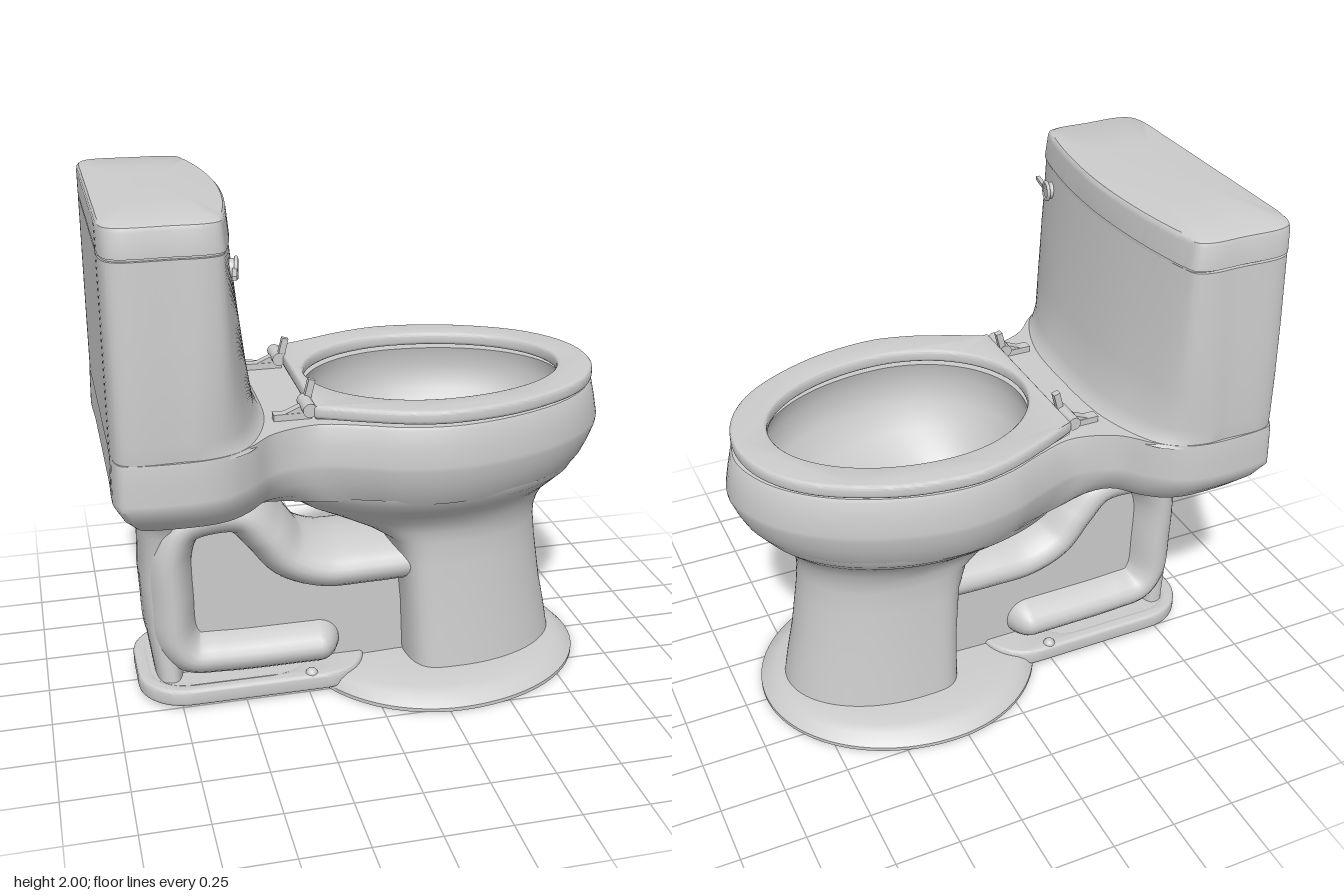
import * as THREE from 'three';
import { toCreasedNormals } from 'three/addons/utils/BufferGeometryUtils.js';

const material = new THREE.MeshStandardMaterial({ color: 0xcccccc, side: THREE.DoubleSide });
const N = 96;

function add(parent, name, geometry, x = 0, y = 0, z = 0) {
  const mesh = new THREE.Mesh(geometry, material);
  mesh.name = name;
  mesh.position.set(x, y, z);
  parent.add(mesh);
  return mesh;
}

// Egg-shaped ring of [x, z]: back x0, front x1, half width w, widest at xm, p < 1 squares the back
function egg(x0, x1, w, xm = 0.25, p = 1) {
  return Array.from({ length: N }, (_, i) => {
    const a = (i / N) * Math.PI * 2, c = Math.cos(a), s = Math.sin(a);
    const q = c < 0 ? p : 1;
    return [c > 0 ? xm + (x1 - xm) * c : xm - (xm - x0) * Math.abs(c) ** q,
      w * Math.sign(s) * Math.abs(s) ** q];
  });
}

// Smooth ring through a half outline (front to back), mirrored in z
function mirrored(half) {
  const all = [...half, ...half.slice(1, -1).reverse().map(([x, z]) => [x, -z])];
  const curve = new THREE.CatmullRomCurve3(all.map(([x, z]) => new THREE.Vector3(x, 0, z)), true, 'centripetal');
  return Array.from({ length: N * 2 }, (_, i) => {
    const v = curve.getPoint(i / (N * 2));
    return [v.x, v.z];
  });
}

// Skin over [y, ring] sections; outward when listed from bottom to top
function loft(sections, capStart = false, capEnd = false) {
  const pos = [], idx = [], n = sections[0][1].length;
  for (const [y, ring] of sections) for (const [x, z] of ring) pos.push(x, y, z);
  for (let i = 0; i < sections.length - 1; i++) for (let j = 0; j < n; j++) {
    const a = i * n + j, b = i * n + (j + 1) % n;
    idx.push(a, a + n, b, b, a + n, b + n);
  }
  const cap = (i, flip) => {
    const [y, ring] = sections[i], c = pos.length / 3;
    pos.push(ring.reduce((s, p) => s + p[0], 0) / n, y, 0);
    for (let j = 0; j < n; j++) {
      const a = i * n + j, b = i * n + (j + 1) % n;
      idx.push(c, flip ? a : b, flip ? b : a);
    }
  };
  if (capStart) cap(0, true);
  if (capEnd) cap(sections.length - 1, false);
  const g = new THREE.BufferGeometry();
  g.setAttribute('position', new THREE.Float32BufferAttribute(pos, 3));
  g.setIndex(idx);
  return toCreasedNormals(g, 0.65);
}

const vectors = ring => ring.map(([x, z]) => new THREE.Vector2(x, z));
function holed(outer, hole) {
  const shape = new THREE.Shape(vectors(outer));
  shape.holes.push(new THREE.Path(vectors(hole)));
  return shape;
}
const flat = shape => new THREE.ShapeGeometry(shape).rotateX(Math.PI / 2);
const slab = (shape, depth, bevel) => toCreasedNormals(new THREE.ExtrudeGeometry(shape, {
  depth: depth - 2 * bevel, bevelSize: bevel, bevelThickness: bevel, bevelOffset: -bevel, bevelSegments: 3,
}).rotateX(Math.PI / 2), 0.6);

// Tank plan: bowed front at f, half width w, front corner softness r, scaled by s about its middle
function tankRing(f, w, r = 0, s = 1) {
  const half = [[f, 0], [f - 0.02, 0.3], [f - 0.06 - 0.05 * r, w - 0.07 - 0.02 * r], [f - 0.08 - 0.1 * r, w - 0.02 - 0.01 * r],
    [f - 0.13 - 0.15 * r, w], [-0.75, w], [-0.91, w], [-0.955, w - 0.022], [-0.975, w - 0.07], [-0.98, 0.3], [-0.98, 0]];
  return mirrored(half.map(([x, z]) => [-0.74 + (x + 0.74) * s, z * s]));
}

// Body plan: bowl end scaled by s, tank end scaled by t
function bodyRing(s, t) {
  const bowl = [[0.975, 0], [0.91, 0.2], [0.75, 0.365], [0.5, 0.485], [0.25, 0.53], [0.05, 0.5], [-0.1, 0.44], [-0.26, 0.395]];
  const tank = [[-0.4, 0.43], [-0.5, 0.53], [-0.58, 0.59], [-0.68, 0.62], [-0.92, 0.615],
    [-0.96, 0.6], [-0.98, 0.55], [-0.98, 0.3], [-0.98, 0]];
  return mirrored([...bowl.map(([x, z]) => [0.25 + (x - 0.25) * s, z * s]),
    ...tank.map(([x, z]) => [-0.5 + (x + 0.5) * t, z * t])]);
}

function roundedRect(x0, x1, w, r) {
  const s = new THREE.Shape();
  s.absarc(x1 - r, w - r, r, 0, Math.PI / 2);
  s.absarc(x0 + r, w - r, r, Math.PI / 2, Math.PI);
  s.absarc(x0 + r, r - w, r, Math.PI, Math.PI * 1.5);
  s.absarc(x1 - r, r - w, r, Math.PI * 1.5, Math.PI * 2);
  return s;
}

export function createModel() {
  const model = new THREE.Group();
  model.name = 'toilet';

  // Tank and lid
  add(model, 'tank', loft([[1.165, tankRing(-0.375, 0.606, 1)], [1.185, tankRing(-0.405, 0.608, 0.95)],
    [1.24, tankRing(-0.432, 0.609, 0.8)], [1.4, tankRing(-0.455, 0.607, 0.5)], [1.6, tankRing(-0.478, 0.6, 0.25)],
    [1.87, tankRing(-0.505, 0.585)]], false, true));
  add(model, 'tankLid', loft([[1.865, tankRing(-0.5, 0.58, 0, 0.985)], [1.878, tankRing(-0.5, 0.58, 0, 0.985)],
    [1.88, tankRing(-0.5, 0.588)], [1.965, tankRing(-0.508, 0.583)], [1.98, tankRing(-0.508, 0.583, 0, 0.99)],
    [1.988, tankRing(-0.508, 0.583, 0, 0.96)], [2, tankRing(-0.508, 0.583, 0, 0.5)]], true, true));

  // Body: tank underside, deck and rim
  const opening = egg(-0.2, 0.82, 0.39);
  add(model, 'rimAndDeck', loft([[0.86, bodyRing(0.885, 0.7)], [0.9, bodyRing(0.93, 0.86)],
    [0.95, bodyRing(0.965, 0.94)], [1.01, bodyRing(0.997, 1)], [1.03, bodyRing(1, 1)],
    [1.1, bodyRing(0.982, 0.997)], [1.165, bodyRing(0.962, 0.993)], [1.178, bodyRing(0.95, 0.99)]]));
  add(model, 'deckTop', flat(holed(bodyRing(0.95, 0.99), opening)), 0, 1.178);
  add(model, 'deckUnderside', flat(holed(bodyRing(0.885, 0.7), egg(-0.3, 0.8, 0.32))), 0, 0.86);

  // Outer bowl flowing into the pedestal: y, back, front, half width, squareness
  const pedestal = [[0.07, 0.16, 0.82, 0.32, 0.5], [0.18, 0.155, 0.8, 0.308, 0.5], [0.3, 0.15, 0.775, 0.297, 0.5],
    [0.5, 0.13, 0.745, 0.28, 0.5], [0.6, 0.08, 0.735, 0.276, 0.6], [0.65, -0.01, 0.737, 0.281, 0.7],
    [0.7, -0.14, 0.75, 0.3, 0.85], [0.75, -0.25, 0.782, 0.345, 0.95], [0.8, -0.33, 0.828, 0.407, 1],
    [0.85, -0.38, 0.876, 0.46, 1], [0.88, -0.4, 0.895, 0.47, 1]];
  add(model, 'bowlAndPedestal', loft(pedestal.map(([y, b, f, w, p]) => [y, egg(b, f, w, 0.35 - 0.1 * (y > 0.7), p)])));
  add(model, 'basin', loft([[1.178, opening], [1.1, egg(-0.22, 0.84, 0.41)], [1, egg(-0.2, 0.8, 0.39)],
    [0.9, egg(-0.16, 0.68, 0.33, 0.22)], [0.8, egg(-0.12, 0.47, 0.24, 0.15)], [0.72, egg(-0.08, 0.26, 0.15, 0.06)],
    [0.64, egg(-0.06, 0.06, 0.08, 0)]], false, true));

  // Trapway: flattened pipe, web behind it and rear column
  const path = [[0.2, 0.49], [0, 0.485], [-0.17, 0.49], [-0.3, 0.545], [-0.39, 0.655], [-0.48, 0.75], [-0.6, 0.762],
    [-0.71, 0.73], [-0.76, 0.63], [-0.765, 0.42], [-0.752, 0.25], [-0.7, 0.18], [-0.58, 0.165], [-0.19, 0.16]];
  const trap = new THREE.Group();
  trap.name = 'trapway';
  trap.scale.z = 2.2;
  model.add(trap);
  const curve = new THREE.CatmullRomCurve3(path.map(([x, y]) => new THREE.Vector3(x, y, 0)));
  add(trap, 'trapPipe', new THREE.TubeGeometry(curve, 120, 0.106, 28));
  add(trap, 'trapPipeEnd', new THREE.SphereGeometry(0.106, 28, 16), -0.19, 0.16);
  const web = new THREE.Shape([[-0.8, 0.06], [0.3, 0.06], [0.3, 0.5], [-0.2, 0.52], [-0.48, 0.87], [-0.8, 0.87]]
    .map(p => new THREE.Vector2(...p)));
  add(model, 'trapWeb', new THREE.ExtrudeGeometry(web, { depth: 0.26, bevelEnabled: false }), 0, 0, -0.13);
  add(model, 'rearColumn', loft([[0.07, egg(-0.835, -0.72, 0.2, -0.77, 0.6)], [0.3, egg(-0.865, -0.72, 0.18, -0.78, 0.6)],
    [0.5, egg(-0.875, -0.72, 0.18, -0.78, 0.6)], [0.7, egg(-0.865, -0.72, 0.2, -0.77, 0.6)],
    [0.8, egg(-0.865, -0.7, 0.24, -0.76, 0.6)], [0.86, egg(-0.885, -0.66, 0.32, -0.75, 0.6)],
    [0.9, egg(-0.9, -0.6, 0.4, -0.74, 0.6)]], true));

  // Floor flange and rear foot
  const recess = egg(-0.18, 0.87, 0.475, 0.3), edge = egg(-0.23, 0.915, 0.525, 0.3);
  add(model, 'floorFlange', loft([[0.035, recess], [0, recess], [0, edge], [0.015, edge],
    [0.05, egg(-0.21, 0.88, 0.48, 0.3)], [0.064, egg(-0.18, 0.85, 0.44, 0.3)], [0.075, egg(0.12, 0.81, 0.3, 0.3)]], true, true));
  const foot = roundedRect(-0.905, 0, 0.28, 0.19);
  foot.holes.push(roundedRect(-0.85, -0.24, 0.225, 0.14));
  add(model, 'rearFoot', slab(foot, 0.068, 0.014), 0, 0.072);
  add(model, 'rearFootTop', flat(roundedRect(-0.87, -0.05, 0.245, 0.16)), 0, 0.084);
  for (const side of [-1, 1])
    add(model, 'floorBoltCap', new THREE.SphereGeometry(0.025, 16, 10), -0.24, 0.08, side * 0.25);

  // Seat ring with a straight back edge
  const seat = new THREE.Shape();
  const side = [[-0.225, 0.365], [-0.08, 0.435], [0.08, 0.497], [0.25, 0.522], [0.5, 0.48], [0.75, 0.355], [0.89, 0.19]];
  seat.moveTo(-0.24, -0.35);
  seat.splineThru(vectors([...side.map(([x, z]) => [x, -z]), [0.935, 0], ...side.slice().reverse(), [-0.24, 0.35]]));
  seat.closePath();
  seat.holes.push(new THREE.Path(vectors(egg(-0.2, 0.8, 0.385))));
  add(model, 'seat', slab(seat, 0.052, 0.014), 0, 1.23);

  // Seat hinges
  for (const s of [-1, 1]) {
    const hinge = new THREE.Group();
    hinge.name = 'seatHinge';
    model.add(hinge);
    add(hinge, 'hingePlate', new THREE.BoxGeometry(0.14, 0.025, 0.04), -0.31, 1.19, s * 0.29);
    add(hinge, 'hingeArm', new THREE.BoxGeometry(0.09, 0.03, 0.035), -0.295, 1.205, s * 0.29).rotation.z = 0.4;
    add(hinge, 'hingePin', new THREE.CylinderGeometry(0.026, 0.026, 0.12, 20).rotateX(Math.PI / 2), -0.255, 1.225, s * 0.295);
    add(hinge, 'hingeTab', new THREE.BoxGeometry(0.025, 0.1, 0.025), -0.24, 1.26, s * 0.25).rotation.z = -0.25;
  }

  // Flush handle
  const handle = new THREE.Group();
  handle.name = 'flushHandle';
  handle.position.set(-0.53, 1.79, 0.43);
  handle.rotation.y = -0.18;
  model.add(handle);
  add(handle, 'handleBoss', new THREE.CylinderGeometry(0.032, 0.032, 0.05, 28).rotateZ(Math.PI / 2), -0.01);
  add(handle, 'handleRing', new THREE.TorusGeometry(0.034, 0.007, 10, 32).rotateY(Math.PI / 2), 0.012);
  add(handle, 'handleLever', new THREE.BoxGeometry(0.016, 0.014, 0.11), 0.008, 0, 0.08);
  return model;
}
